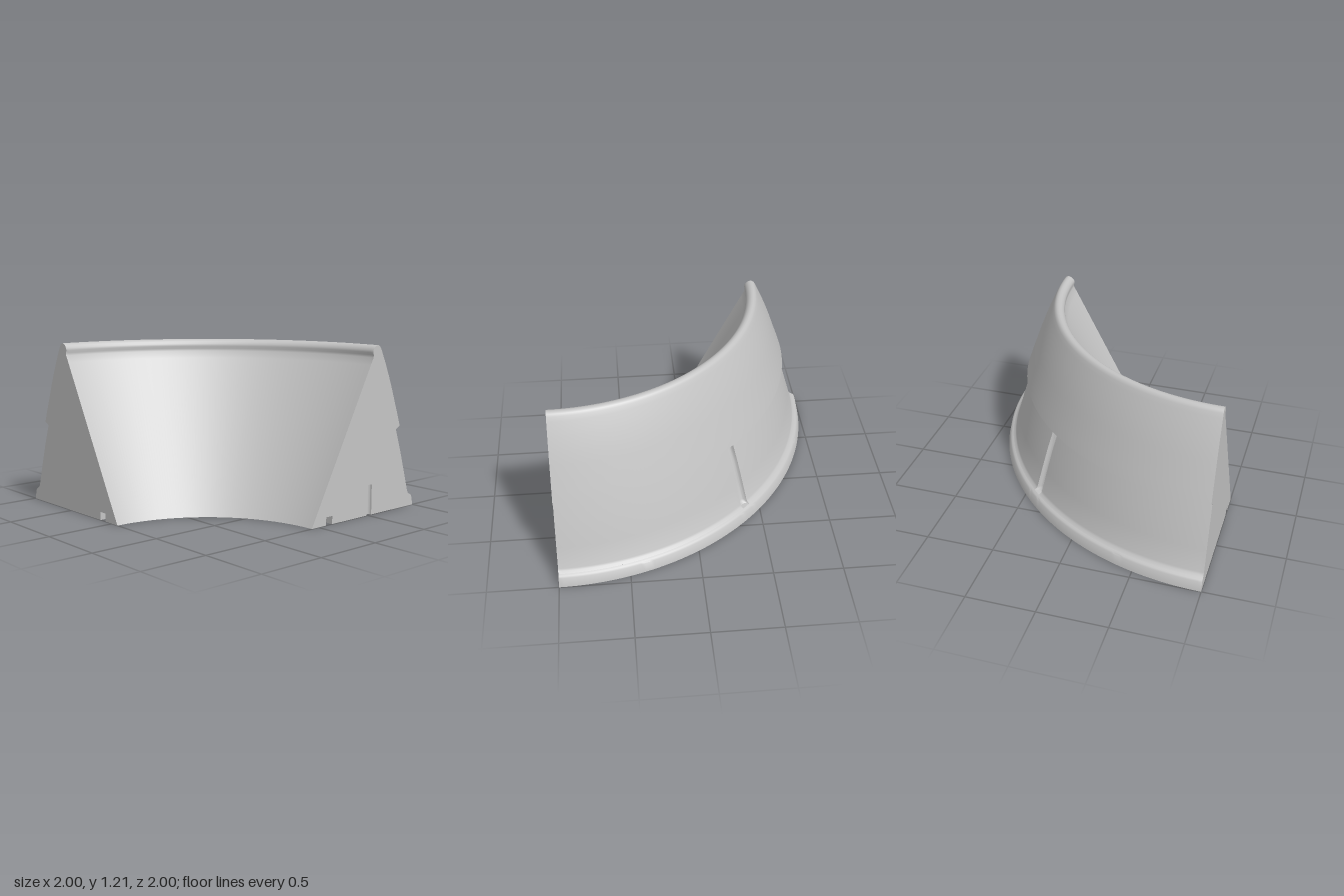
import * as THREE from 'three';
import { toCreasedNormals } from 'three/addons/utils/BufferGeometryUtils.js';

const QUARTER = Math.PI / 2;
const SEGMENTS = 96;
const HOLE_R = 0.025, HOLE_H = 0.22, HOLE_RING = 1.515;
const GROOVE_IN = 1.075, GROOVE_OUT = 1.135, GROOVE_H = 0.058;

// Cross-section as [radius, height], anticlockwise from the outer foot
const foot = [[2, 0], [1.985, 0.07], [1.975, 0.08], [1.96, 0.088]];
const lowerWall = [[1.96, 0.088], [1.943, 0.1], [1.935, 0.115], [1.89, 0.27], [1.842, 0.43],
  [1.79, 0.583], [1.795, 0.592], [1.83, 0.61]];
const upperWall = [[1.83, 0.61], [1.803, 0.69], [1.77, 0.78], [1.735, 0.88], [1.7, 0.97],
  [1.66, 1.065], [1.62, 1.15], [1.605, 1.18], [1.595, 1.195], [1.582, 1.203], [1.567, 1.205],
  [1.55, 1.2], [1.535, 1.187], [1.526, 1.172], [1.523, 1.155], [1.529, 1.138], [1.527, 1.12], [1.5, 1.07]];
const innerFoot = [[0.935, 0]];
const groove = [[GROOVE_IN, 0], [GROOVE_IN, GROOVE_H], [GROOVE_OUT, GROOVE_H], [GROOVE_OUT, 0]];
const slot = [[HOLE_RING - HOLE_R, 0], [HOLE_RING - HOLE_R, HOLE_H],
  [HOLE_RING + HOLE_R, HOLE_H], [HOLE_RING + HOLE_R, 0]];

const vec = (pts) => pts.map(([x, y]) => new THREE.Vector2(x, y));

function sweep(pts, start = QUARTER, length = QUARTER, segments = SEGMENTS) {
  return new THREE.LatheGeometry(vec(pts), segments, start, length);
}

export function createModel() {
  const model = new THREE.Group();
  model.name = 'quarterRing';
  const grey = new THREE.MeshStandardMaterial({ color: 0xc4c4c4 });
  grey.name = 'light grey';

  // All parts are laid out around the ring axis
  const add = (name, geometry, x = 0, z = 0) => {
    const mesh = new THREE.Mesh(geometry, grey);
    mesh.name = name;
    mesh.position.set(x - 1, 0, z + 1);
    model.add(mesh);
  };
  const crease = (g) => toCreasedNormals(g, 0.6);

  // Swept walls
  add('foot', crease(sweep(foot)));
  add('upperWallAndInside', crease(sweep([...upperWall, ...innerFoot, ...groove])));

  // Lower wall either side of the cable channel
  const channelR = 0.035;
  const half = channelR / 1.87;
  const middle = QUARTER * 1.5;
  const side = QUARTER / 2 - half;
  add('lowerWallLeft', crease(sweep(lowerWall, QUARTER, side, 48)));
  add('lowerWallRight', crease(sweep(lowerWall, middle + half, side, 48)));

  // Round channel sunk into the lower wall
  const channelSegments = 16;
  const channel = sweep([lowerWall[0], ...lowerWall], middle - half, half * 2, channelSegments);
  const p = channel.attributes.position;
  const rows = lowerWall.length + 1;
  for (let k = 0; k < p.count; k++) {
    const row = k % rows;
    if (row === 0 || row === rows - 1) continue;
    const t = Math.floor(k / rows) / channelSegments * 2 - 1;
    const depth = channelR * Math.sqrt(Math.max(0, 1 - t * t));
    const s = 1 - depth / Math.hypot(p.getX(k), p.getZ(k));
    p.setXYZ(k, p.getX(k) * s, p.getY(k), p.getZ(k) * s);
  }
  add('cableChannel', crease(channel));

  // Flat cut ends; the front one is cut through a peg hole
  const section = [...foot, ...lowerWall.slice(1), ...upperWall.slice(1), ...innerFoot, ...groove];
  add('frontEnd', new THREE.ShapeGeometry(new THREE.Shape(vec([...section, ...slot]))));
  const mirrored = section.map(([r, y]) => [-r, y]);
  add('sideEnd', new THREE.ShapeGeometry(new THREE.Shape(vec(mirrored))).rotateY(-QUARTER));

  // Underside with a half hole at the front end and a full one at 60 degrees
  const hx = HOLE_RING * Math.cos(Math.PI / 3), hz = -HOLE_RING * Math.sin(Math.PI / 3);
  const base = new THREE.Shape();
  base.moveTo(GROOVE_OUT, 0);
  base.lineTo(HOLE_RING - HOLE_R, 0);
  base.absarc(HOLE_RING, 0, HOLE_R, Math.PI, Math.PI * 2, false);
  base.lineTo(2, 0);
  base.absarc(0, 0, 2, 0, -QUARTER, true);
  base.lineTo(0, -GROOVE_OUT);
  base.absarc(0, 0, GROOVE_OUT, -QUARTER, 0, false);
  base.holes.push(new THREE.Path().absarc(hx, hz, HOLE_R, 0, Math.PI * 2, true));
  add('underside', new THREE.ShapeGeometry(base, SEGMENTS).rotateX(QUARTER));

  // Peg hole linings, facing inwards
  const lining = [[0, HOLE_H], [HOLE_R, HOLE_H], [HOLE_R, 0]];
  add('halfPegHole', crease(sweep(lining, QUARTER, Math.PI, 24)), HOLE_RING, 0);
  add('pegHole', crease(sweep(lining, 0, Math.PI * 2, 48)), hx, hz);

  return model;
}
